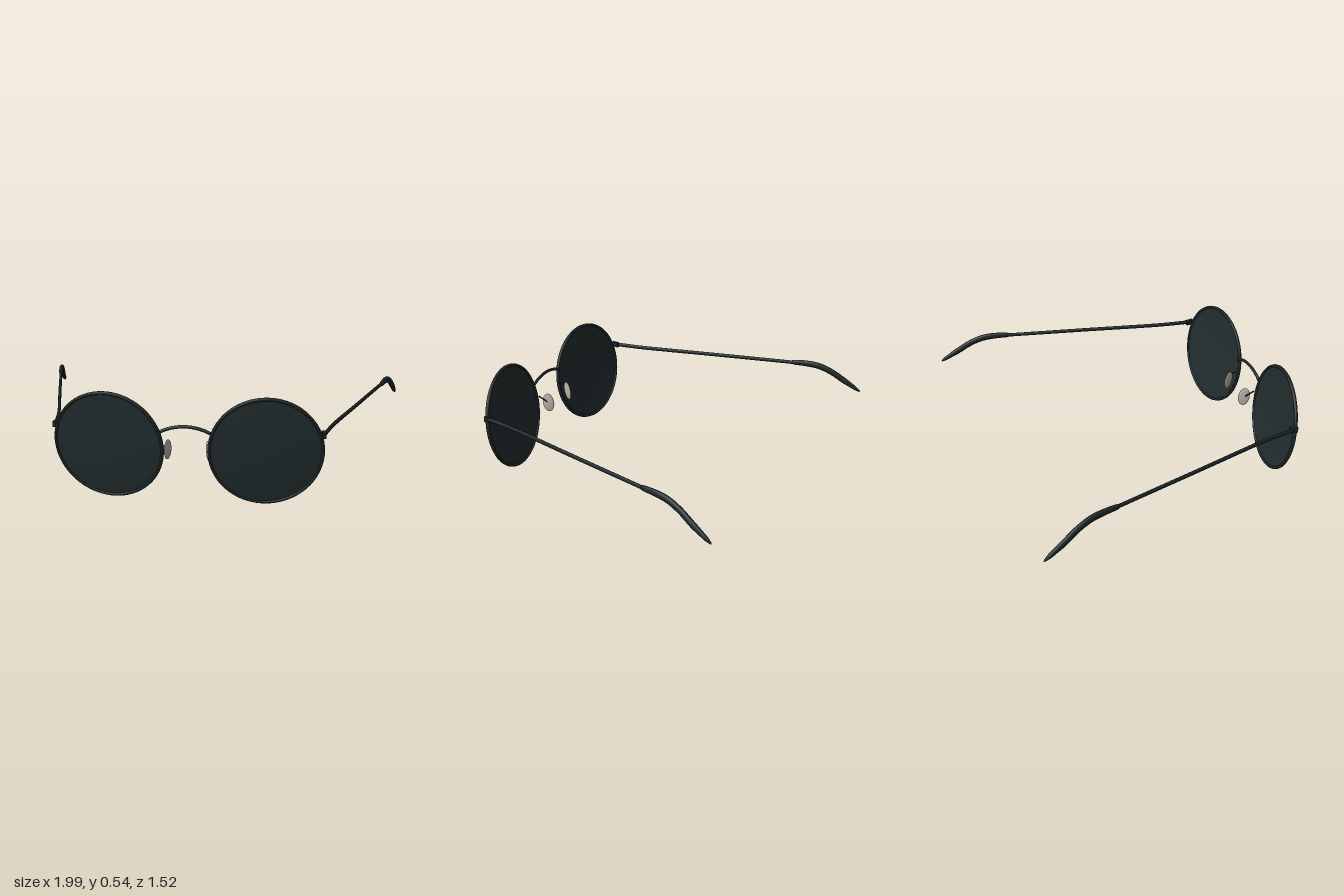
import * as THREE from 'three';

const V = (x, y, z) => new THREE.Vector3(x, y, z);

// Sweeps an oval section along a smooth path; radii = [[t, halfWidth, halfHeight], ...]
function sweep(points, radii, steps = 40, sides = 14) {
  const curve = new THREE.CatmullRomCurve3(points, false, 'centripetal');
  const pos = [], index = [];
  for (let i = 0; i <= steps; i++) {
    const t = i / steps;
    let k = 0;
    while (k < radii.length - 2 && t > radii[k + 1][0]) k++;
    const [t0, w0, h0] = radii[k], [t1, w1, h1] = radii[k + 1];
    const f = (t - t0) / (t1 - t0);
    const w = w0 + (w1 - w0) * f, h = h0 + (h1 - h0) * f;
    const p = curve.getPointAt(t), T = curve.getTangentAt(t);
    const N = V(0, 1, 0).cross(T).normalize(), B = T.clone().cross(N);
    for (let j = 0; j < sides; j++) {
      const a = j / sides * Math.PI * 2;
      const q = p.clone().addScaledVector(N, Math.cos(a) * w).addScaledVector(B, Math.sin(a) * h);
      pos.push(q.x, q.y, q.z);
      if (i < steps) {
        const m = i * sides + j, n = i * sides + (j + 1) % sides;
        index.push(m, n, m + sides, n, n + sides, m + sides);
      }
    }
  }
  // Close both ends
  for (let j = 1; j < sides - 1; j++) {
    const e = steps * sides;
    index.push(0, j + 1, j, e, e + j, e + j + 1);
  }
  const g = new THREE.BufferGeometry();
  g.setAttribute('position', new THREE.Float32BufferAttribute(pos, 3));
  g.setIndex(index);
  g.computeVertexNormals();
  return g;
}

export function createModel() {
  const model = new THREE.Group();
  model.name = 'sunglasses';
  const material = (name, color) => {
    const m = new THREE.MeshStandardMaterial({ color });
    m.name = name;
    return m;
  };
  const frame = material('dark frame', 0x1b2425);
  const glass = material('tinted lens', 0x222d2e);
  const padGrey = material('nose pad grey', 0xb8b3a8);

  const add = (parent, name, geometry, mat) => {
    const mesh = new THREE.Mesh(geometry, mat);
    mesh.name = name;
    parent.add(mesh);
    return mesh;
  };

  // Slightly domed lens: front and back skins from one profile
  const R = 0.266, sag = 0.012;
  const profile = [];
  for (let i = 0; i <= 10; i++) {
    const r = R * (1 - i / 10);
    profile.push(new THREE.Vector2(r, sag * (1 - (r / R) ** 2) + 0.003));
  }
  const front = new THREE.LatheGeometry(profile, 64).rotateX(Math.PI / 2);
  const backProfile = profile.map(p => new THREE.Vector2(p.x, p.y - 0.006)).reverse();
  const back = new THREE.LatheGeometry(backProfile, 64).rotateX(Math.PI / 2);

  for (const s of [1, -1]) {
    const side = s > 0 ? 'left' : 'right';

    // Lens and rim, tipped forward and wrapped around the face
    const eye = new THREE.Group();
    eye.name = side + 'Eye';
    eye.position.set(s * 0.375, 0.28, 0.7);
    eye.rotation.set(THREE.MathUtils.degToRad(8.3), s * THREE.MathUtils.degToRad(6.8), 0);
    add(eye, side + 'LensFront', front, glass);
    add(eye, side + 'LensBack', back, glass);
    add(eye, side + 'Rim', new THREE.TorusGeometry(R, 0.008, 10, 72).scale(1, 1, 1.25), frame);
    model.add(eye);

    // Hinge block
    const hinge = add(model, side + 'Hinge', new THREE.BoxGeometry(0.018, 0.028, 0.042), frame);
    hinge.position.set(s * 0.64, 0.364, 0.664);
    hinge.rotation.y = s * 0.15;

    // Thin temple arm
    add(model, side + 'Temple', sweep([
      V(s * 0.642, 0.364, 0.665), V(s * 0.655, 0.362, 0.59), V(s * 0.675, 0.36, 0.49),
      V(s * 0.79, 0.351, 0.06), V(s * 0.912, 0.341, -0.4),
    ], [[0, 0.008, 0.011], [1, 0.008, 0.01]]), frame);

    // Thicker curved ear tip
    add(model, side + 'EarTip', sweep([
      V(s * 0.904, 0.342, -0.365), V(s * 0.922, 0.342, -0.44), V(s * 0.939, 0.333, -0.515),
      V(s * 0.956, 0.305, -0.585), V(s * 0.974, 0.258, -0.66), V(s * 0.991, 0.2, -0.755),
    ], [[0, 0.008, 0.011], [0.04, 0.011, 0.015], [0.25, 0.013, 0.018],
      [0.75, 0.013, 0.017], [0.93, 0.01, 0.011], [1, 0.003, 0.004]]), frame);

    // Nose pad on a short wire
    const pad = add(model, side + 'NosePad',
      new THREE.SphereGeometry(1, 24, 16).scale(0.007, 0.051, 0.031), padGrey);
    pad.position.set(s * 0.097, 0.257, 0.664);
    pad.rotation.set(0.14, s * 0.4, 0);
    add(model, side + 'PadWire', sweep([
      V(s * 0.113, 0.29, 0.715), V(s * 0.116, 0.282, 0.69), V(s * 0.103, 0.262, 0.668),
    ], [[0, 0.004, 0.004], [1, 0.004, 0.004]], 12, 8), frame);
  }

  // Arched bridge
  add(model, 'bridge', sweep([
    V(-0.125, 0.362, 0.732), V(-0.09, 0.378, 0.732), V(-0.045, 0.39, 0.732), V(0, 0.394, 0.732),
    V(0.045, 0.39, 0.732), V(0.09, 0.378, 0.732), V(0.125, 0.362, 0.732),
  ], [[0, 0.008, 0.008], [1, 0.008, 0.008]]), frame);

  return model;
}
